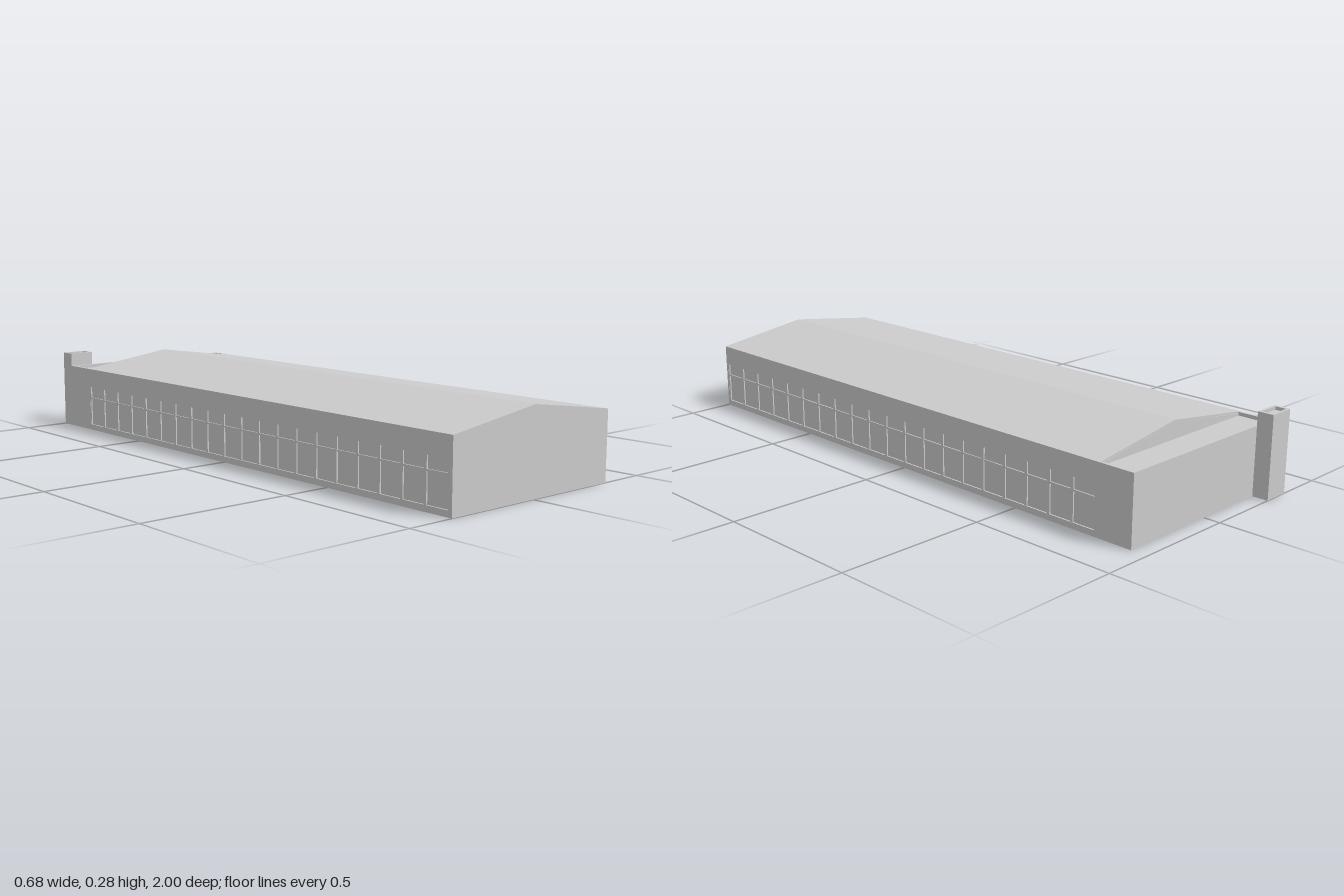
import * as THREE from 'three';

const W = 0.34, EAVE = 0.227, RIDGE = 0.275, SKIN = 0.006, T = 0.01;
const FRONT = 1, GABLE = -0.825, BACK = -0.945;
const WIN = { z0: -0.815, z1: 0.99, y0: 0.02, y1: 0.16, transom: 0.118, bays: 20 };

const material = new THREE.MeshStandardMaterial({ color: 0xcccccc, flatShading: true, side: THREE.DoubleSide });

function add(parent, name, geometry, x = 0, y = 0, z = 0) {
  const mesh = new THREE.Mesh(geometry, material);
  mesh.name = name;
  mesh.position.set(x, y, z);
  parent.add(mesh);
  return mesh;
}

// Box given by its minimum and maximum corners
function block(parent, name, x0, x1, y0, y1, z0, z1) {
  return add(parent, name, new THREE.BoxGeometry(x1 - x0, y1 - y0, z1 - z0),
    (x0 + x1) / 2, (y0 + y1) / 2, (z0 + z1) / 2);
}

function outline(points) {
  return new THREE.Shape(points.map(([x, y]) => new THREE.Vector2(x, y)));
}

function rectPath(x0, x1, y0, y1) {
  return new THREE.Path([[x0, y0], [x0, y1], [x1, y1], [x1, y0]].map(([x, y]) => new THREE.Vector2(x, y)));
}

function extrude(shape, depth) {
  return new THREE.ExtrudeGeometry(shape, { depth, bevelEnabled: false });
}

// Long wall with a ribbon of windows; side is +1 or -1
function sideWall(side) {
  const group = new THREE.Group();
  group.name = side > 0 ? 'leftWall' : 'rightWall';
  const shape = outline([[-FRONT, 0], [-BACK, 0], [-BACK, EAVE], [-GABLE, EAVE],
    [-GABLE, EAVE - SKIN], [-FRONT, EAVE - SKIN]]);
  shape.holes.push(rectPath(-WIN.z1, -WIN.z0, WIN.y0, WIN.y1));
  const wall = add(group, 'wallPanel', extrude(shape, T), side > 0 ? W - T : -W);
  wall.rotation.y = Math.PI / 2;

  // A bar reaching from just below the outer face to the inner face
  const inset = (name, y0, y1, z0, z1, outer, inner) => {
    const a = side * (W - outer), b = side * (W - inner);
    block(group, name, Math.min(a, b), Math.max(a, b), y0, y1, z0, z1);
  };
  inset('glass', WIN.y0, WIN.y1, WIN.z0, WIN.z1, 0.005, 0.007);
  inset('transom', WIN.transom - 0.003, WIN.transom + 0.003, WIN.z0, WIN.z1, 0.001, T);
  const step = (WIN.z1 - WIN.z0) / WIN.bays;
  for (let i = 0; i <= WIN.bays; i++) {
    const z = WIN.z0 + i * step;
    inset('mullion', WIN.y0, WIN.y1, z - 0.005, z + 0.005, 0.0005, T + 0.001);
  }
  return group;
}

export function createModel() {
  const model = new THREE.Group();
  model.name = 'hall';

  // Gable walls at both ends of the main hall
  const gable = outline([[-W, 0], [W, 0], [W, EAVE - SKIN], [0, RIDGE - SKIN], [-W, EAVE - SKIN]]);
  add(model, 'frontWall', extrude(gable, T), 0, 0, FRONT - T);
  const inner = outline([[-W + T, 0], [W - T, 0], [W - T, EAVE - SKIN], [0, RIDGE - SKIN], [-W + T, EAVE - SKIN]]);
  add(model, 'rearGableWall', extrude(inner, T), 0, 0, GABLE);

  // Thin pitched roof
  const roof = outline([[-W, EAVE - SKIN], [0, RIDGE - SKIN], [W, EAVE - SKIN], [W, EAVE], [0, RIDGE], [-W, EAVE]]);
  add(model, 'pitchedRoof', extrude(roof, FRONT - GABLE), 0, 0, GABLE);

  for (const side of [1, -1]) model.add(sideWall(side));

  // Low rear annex: flat roof behind a small parapet
  block(model, 'annexBackWall', -W + T, W - T, 0, EAVE, BACK, BACK + T);
  block(model, 'annexFlatRoof', -W + T, W - T, 0.207, 0.215, BACK + T, GABLE);

  // Hollow chimney shaft at the rear corner, capped just below its rim
  const x0 = -W, x1 = -0.25, z0 = -1, z1 = BACK, top = 0.273, rim = 0.009;
  const shaft = outline([[x0, -z1], [x1, -z1], [x1, -z0], [x0, -z0]]);
  shaft.holes.push(rectPath(x0 + rim, x1 - rim, -z1 + rim, -z0 - rim));
  add(model, 'chimneyShaft', extrude(shaft, top)).rotation.x = -Math.PI / 2;
  block(model, 'chimneyCap', x0 + rim, x1 - rim, 0.256, 0.262, z0 + rim, z1 - rim);

  return model;
}
